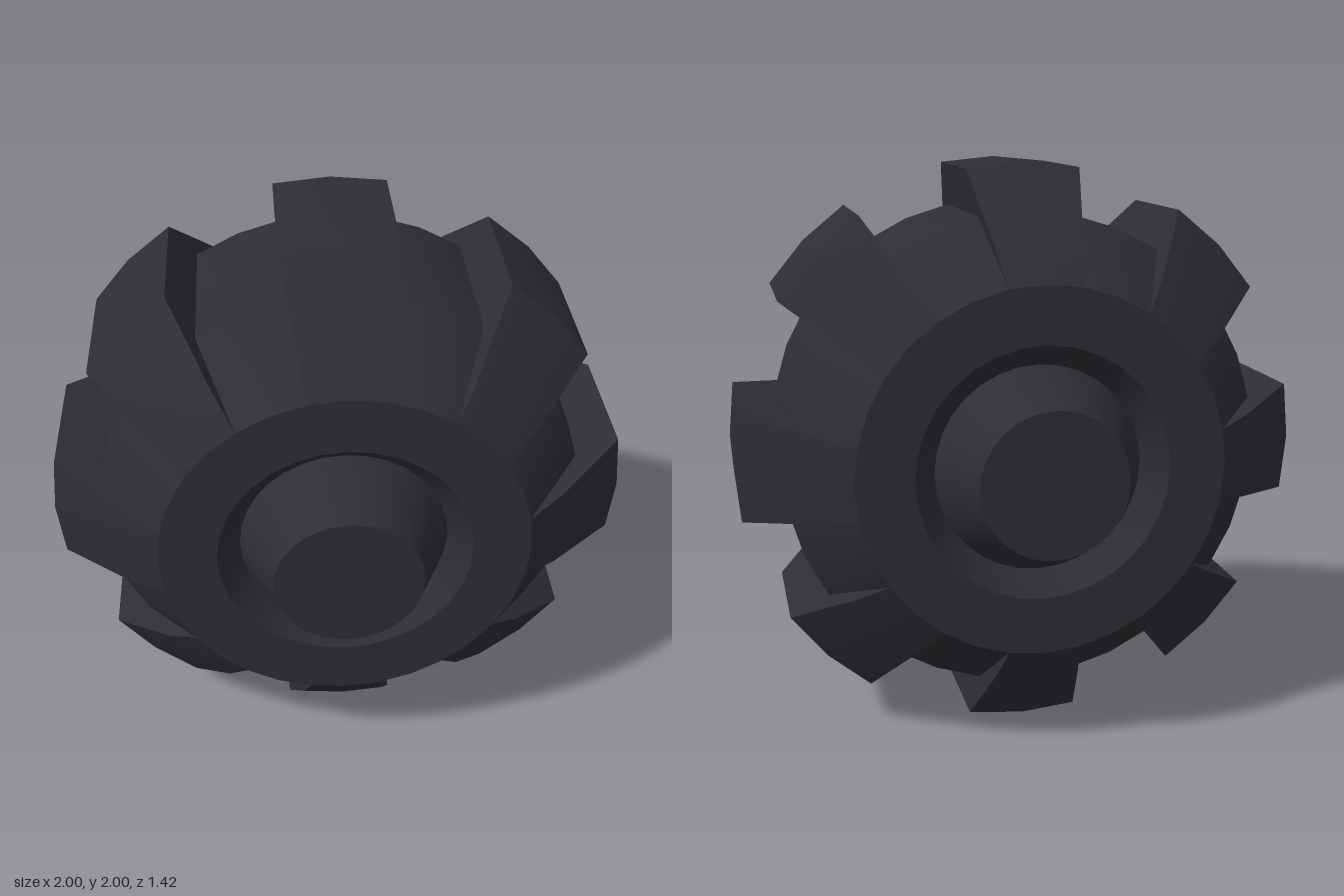
import * as THREE from 'three';
import { mergeGeometries, toCreasedNormals } from 'three/addons/utils/BufferGeometryUtils.js';

const STEP = Math.PI / 16; // 32 sides around the wheel
const LUGS = 8;
const CREASE = 0.4;

// Mirrors a half profile of [radius, axial distance] into a full one
function mirrorProfile(half) {
  const back = half.map(([r, a]) => new THREE.Vector2(r, -a));
  const front = half.map(([r, a]) => new THREE.Vector2(r, a)).reverse();
  return [...back, ...front];
}

export function createModel() {
  const model = new THREE.Group();
  model.name = 'wheel';
  const rubber = new THREE.MeshStandardMaterial({ color: 0x2d2d34 });
  rubber.name = 'dark rubber';

  const add = (name, geometry) => {
    const mesh = new THREE.Mesh(toCreasedNormals(geometry, CREASE), rubber);
    mesh.name = name;
    mesh.rotation.x = Math.PI / 2; // axle along z
    mesh.position.y = 1;
    model.add(mesh);
    return mesh;
  };

  // Tyre body with a bevelled recess on both faces
  const tyre = mirrorProfile([[0.355, 0.477], [0.433, 0.565], [0.63, 0.565], [0.84, 0.28]]);
  add('tyre', new THREE.LatheGeometry(tyre, 32));

  // Tapered hub standing out on both sides
  const hub = mirrorProfile([[0, 0.708], [0.25, 0.708], [0.355, 0.477]]);
  add('hub', new THREE.LatheGeometry(hub, 32));

  // Tread lug: a two-sided slice of a wider profile, closed by radial flanks
  const profile = mirrorProfile([[0.63, 0.565], [0.75, 0.48], [1.0, 0.24]]);
  const flank = new THREE.ShapeGeometry(new THREE.Shape(profile));
  const lug = mergeGeometries([
    new THREE.LatheGeometry(profile, 2, -STEP, 2 * STEP),
    flank.clone().rotateY(-STEP - Math.PI / 2),
    flank.clone().rotateX(Math.PI).rotateY(STEP - Math.PI / 2),
  ].map((g) => g.toNonIndexed()));

  for (let i = 0; i < LUGS; i++) {
    add('treadLug' + (i + 1), lug.clone().rotateY((i / LUGS) * Math.PI * 2));
  }
  return model;
}
